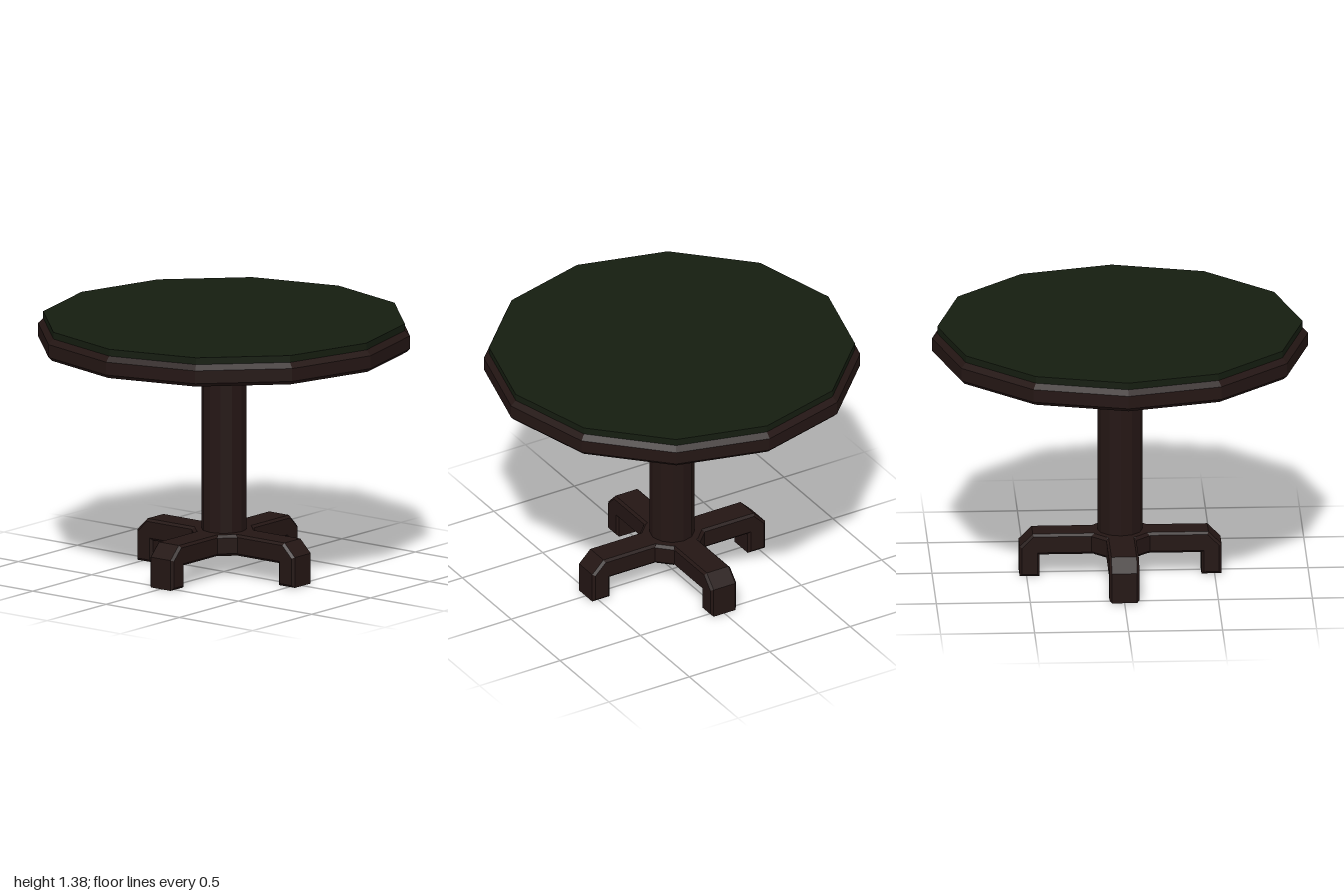
import * as THREE from 'three';

const wood = new THREE.MeshStandardMaterial({ color: 0x241614, flatShading: true });
const felt = new THREE.MeshStandardMaterial({ color: 0x151d10, flatShading: true });
const SIDES = 12;

function lathe(name, profile, material) {
  const points = profile.map(([r, y]) => new THREE.Vector2(r, y));
  const mesh = new THREE.Mesh(new THREE.LatheGeometry(points, SIDES), material);
  mesh.name = name;
  return mesh;
}

// Chamfered slab: the outline extruded to a total thickness, centred on its depth
function slab(outline, thickness, bevel) {
  const shape = new THREE.Shape(outline.map(([x, y]) => new THREE.Vector2(x, y)));
  const geometry = new THREE.ExtrudeGeometry(shape, {
    depth: thickness - 2 * bevel,
    bevelEnabled: true,
    bevelThickness: bevel,
    bevelSize: bevel,
    bevelOffset: -bevel,
    bevelSegments: 1,
  });
  return geometry.translate(0, 0, bevel - thickness / 2);
}

export function createModel() {
  const table = new THREE.Group();
  table.name = 'roundTable';

  // Twelve-sided top with chamfered rim, and the raised playing surface
  table.add(lathe('tableTop', [[0, 1.23], [0.98, 1.23], [1, 1.25], [1, 1.32], [0.972, 1.348], [0, 1.348]], wood));
  table.add(lathe('feltSurface', [[0.972, 1.343], [0.972, 1.385], [0, 1.385]], felt));

  // Central column
  table.add(lathe('column', [[0, 0.2], [0.12, 0.2], [0.12, 1.235], [0, 1.235]], wood));

  // Hub joining the four legs, with angled inner corners
  const a = 0.08, b = 0.155;
  const hubOutline = [[b, -a], [b, a], [a, b], [-a, b], [-b, a], [-b, -a], [-a, -b], [a, -b]];
  const hub = new THREE.Mesh(slab(hubOutline, 0.115, 0.015).rotateX(-Math.PI / 2), wood);
  hub.position.y = 0.1775;
  hub.name = 'hub';
  table.add(hub);

  // Four bent legs
  const legOutline = [
    [0.05, 0.12], [0.43, 0.12], [0.43, 0], [0.537, 0],
    [0.537, 0.165], [0.467, 0.235], [0.05, 0.235],
  ];
  const legGeometry = slab(legOutline, 0.16, 0.013);
  for (let i = 0; i < 4; i++) {
    const leg = new THREE.Mesh(legGeometry, wood);
    leg.rotation.y = (i * Math.PI) / 2;
    leg.name = 'leg' + (i + 1);
    table.add(leg);
  }
  return table;
}
